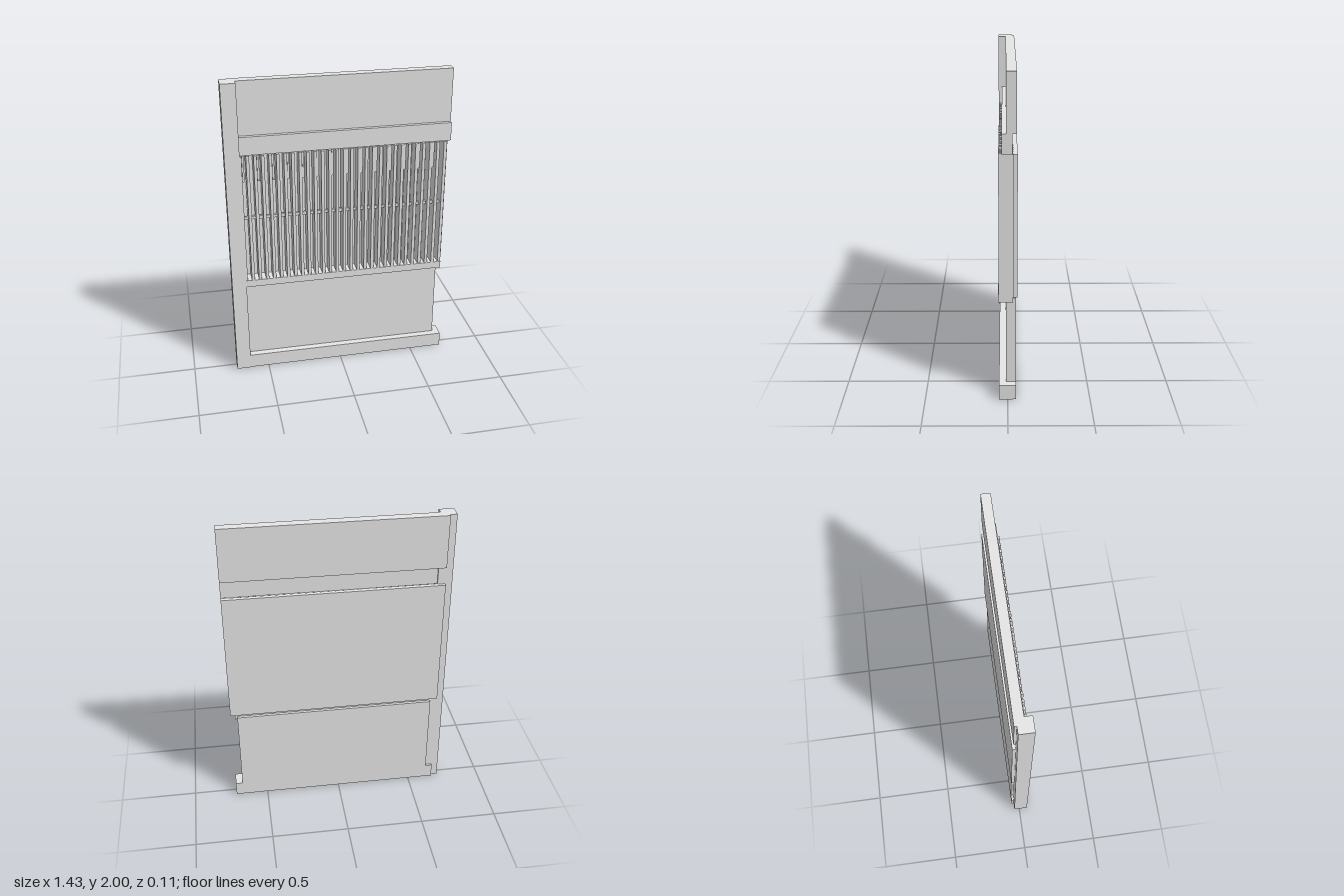
import * as THREE from 'three';

export function createModel() {
  const model = new THREE.Group();
  model.name = 'slattedPanel';
  const grey = new THREE.MeshStandardMaterial({ color: 0xe6e6e6 });
  grey.name = 'pale grey';

  // Box given by its limits along each axis
  function slab(name, [x0, x1], [y0, y1], [z0, z1], parent = model) {
    const mesh = new THREE.Mesh(new THREE.BoxGeometry(x1 - x0, y1 - y0, z1 - z0), grey);
    mesh.name = name;
    mesh.position.set((x0 + x1) / 2, (y0 + y1) / 2, (z0 + z1) / 2);
    parent.add(mesh);
  }

  // Frame
  slab('stile', [-0.715, -0.622], [0, 2], [-0.035, 0.056]);
  slab('bottomRail', [-0.67, 0.715], [0, 0.095], [-0.05, 0.052]);
  slab('middleRail', [-0.626, 0.686], [0.633, 0.68], [-0.032, 0.056]);
  slab('upperRail', [-0.626, 0.715], [1.539, 1.657], [-0.025, 0.034]);

  // Flat panels
  slab('upperPanel', [-0.67, 0.715], [1.655, 2], [-0.05, 0.009]);
  slab('lowerPanel', [-0.626, 0.67], [0.09, 0.655], [-0.05, 0.009]);
  slab('backPlate', [-0.67, 0.715], [0.68, 1.54], [-0.056, -0.03]);

  // Grille of deep upright slats, joined by a cross bar
  const grille = new THREE.Group();
  grille.name = 'grille';
  model.add(grille);
  const pitch = 0.0463;
  slab('edgeSlat', [-0.626, -0.612], [0.68, 1.54], [-0.031, 0.053], grille);
  for (let i = 0; i < 28; i++) {
    const x = -0.575 + i * pitch;
    slab('slat', [x - 0.0097, x + 0.0097], [0.68, 1.54], [-0.031, 0.053], grille);
  }
  slab('crossBar', [-0.624, 0.667], [1.1, 1.12], [0.002, 0.018], grille);

  // Short tabs in every second gap
  for (let i = 0; i < 14; i++) {
    const x = -0.604 + i * pitch * 2;
    slab('tab', [x - 0.006, x + 0.006], [1.37, 1.54], [0.018, 0.045], grille);
  }
  return model;
}
